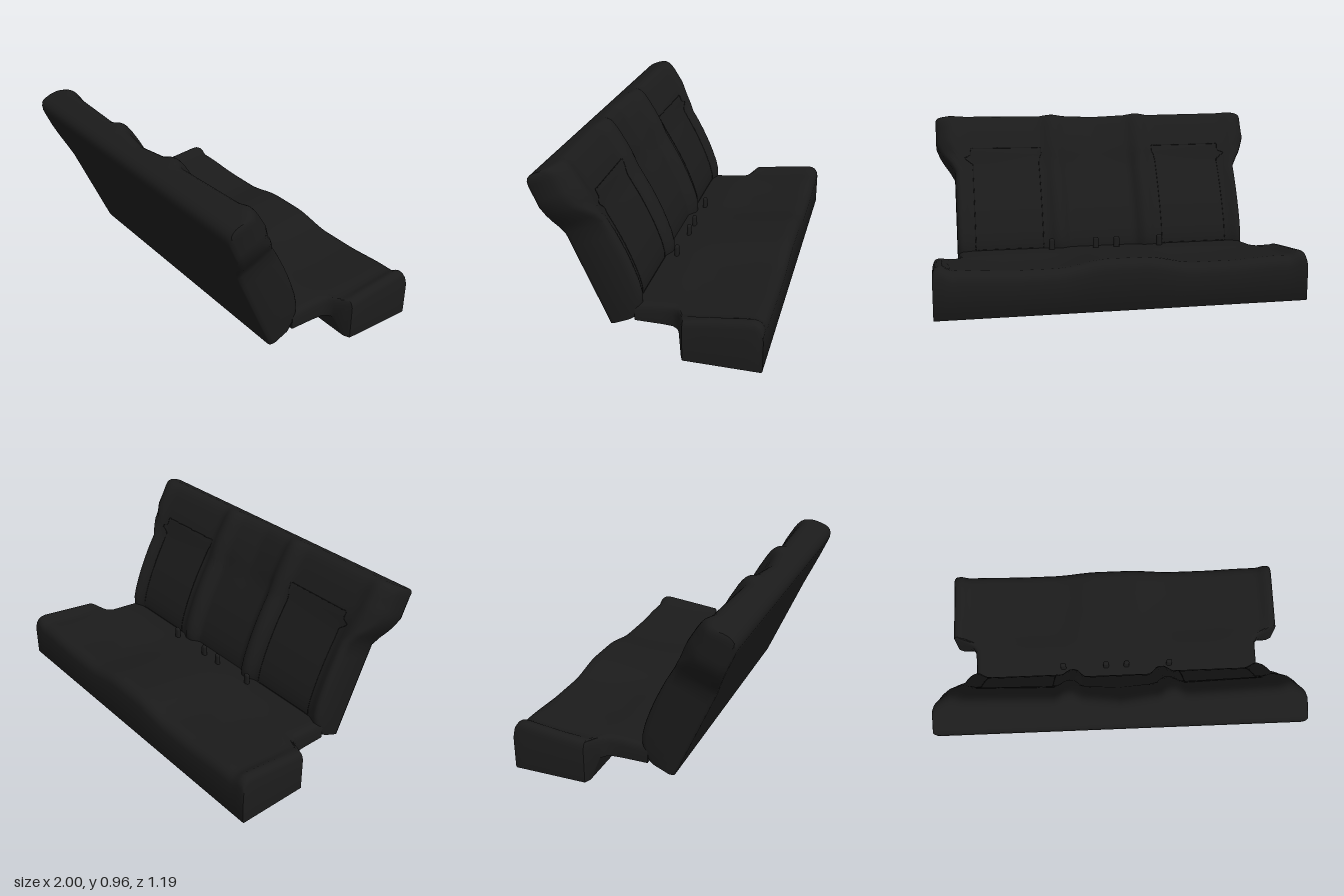
import * as THREE from 'three';
import { toCreasedNormals } from 'three/addons/utils/BufferGeometryUtils.js';
import { RoundedBoxGeometry } from 'three/addons/geometries/RoundedBoxGeometry.js';

const smooth = THREE.MathUtils.smoothstep;
const lerp = THREE.MathUtils.lerp;
const clamp = THREE.MathUtils.clamp;

// Stations across the width, denser towards the rounded sides
const half = [];
for (let i = 0; i <= 38; i++) half.push(i * 0.025);
half.push(0.965, 0.98, 0.99, 1);
const stations = [...half.slice(1).reverse().map((s) => -s), ...half];

// Quarter-round drop at distance d from a side edge
const edgeDrop = (d, r) => (d >= r ? 0 : r - Math.sqrt(r * r - (r - d) * (r - d)));

// Closed solid between two skins, each sampled as rows x stations
function loft(rows, upper, lower) {
  const pos = [];
  const quad = (a, b, c, d) => [a, b, c, a, c, d].forEach((p) => pos.push(...p));
  const P = rows.map((r) => stations.map((s) => upper(r, s)));
  const Q = rows.map((r) => stations.map((s) => lower(r, s)));
  const n = rows.length - 1, m = stations.length - 1;
  for (let i = 0; i < n; i++) {
    const k = i + 1;
    for (let j = 0; j < m; j++) {
      quad(P[i][j], P[k][j], P[k][j + 1], P[i][j + 1]);
      quad(Q[i][j], Q[i][j + 1], Q[k][j + 1], Q[k][j]);
    }
    quad(P[i][m], P[k][m], Q[k][m], Q[i][m]);
    quad(P[i][0], Q[i][0], Q[k][0], P[k][0]);
  }
  for (let j = 0; j < m; j++) {
    quad(P[0][j], P[0][j + 1], Q[0][j + 1], Q[0][j]);
    quad(P[n][j], Q[n][j], Q[n][j + 1], P[n][j + 1]);
  }
  const geo = new THREE.BufferGeometry();
  geo.setAttribute('position', new THREE.Float32BufferAttribute(pos, 3));
  return toCreasedNormals(geo, 0.65);
}

// Cushion rows: z, top, bottom, half width
const cushionRows = [
  [-0.59, 0.215, 0.008, 1], [-0.585, 0.238, 0, 1], [-0.572, 0.257, 0, 1], [-0.552, 0.268, 0, 1],
  [-0.53, 0.27, 0, 1], [-0.5, 0.267, 0, 1], [-0.42, 0.257, 0, 1], [-0.32, 0.245, 0, 1],
  [-0.185, 0.228, 0, 1], [-0.17, 0.226, 0, 0.966], [-0.143, 0.223, 0.1, 0.907], [-0.128, 0.221, 0.1, 0.882],
  [-0.1, 0.218, 0.1, 0.864], [-0.04, 0.21, 0.1, 0.86], [0.03, 0.201, 0.1, 0.86], [0.105, 0.195, 0.1, 0.86],
];
function cushionTop([z, top, , w], s) {
  const x = s * w, a = Math.abs(x);
  // Two shallow seating dips, either side of a middle hump
  const dip = 0.026 * smooth(a, 0.08, 0.36) * (1 - smooth(a, 0.905, 0.955))
    + 0.014 * smooth(a, 0.12, 0.4) * (1 - smooth(a, 0.55, 0.85));
  return [x, top - dip * (1 - smooth(z, -0.35, 0.03)) - edgeDrop(w - a, 0.035), z];
}

// Backrest rows in its leaning frame: height, front, back, half width
const backRows = [
  [0, 0.157, 0, 0.86], [0.03, 0.195, 0, 0.86], [0.064, 0.225, 0, 0.86], [0.11, 0.245, 0, 0.86],
  [0.171, 0.256, 0, 0.86], [0.24, 0.261, 0, 0.86], [0.31, 0.263, 0, 0.86], [0.39, 0.261, 0, 0.86],
  [0.466, 0.256, 0, 0.86], [0.545, 0.247, 0, 0.86], [0.6, 0.24, 0, 0.89], [0.645, 0.243, 0, 0.92],
  [0.69, 0.241, 0, 0.945], [0.745, 0.236, 0, 0.966], [0.78, 0.231, 0, 0.966], [0.83, 0.224, 0, 0.966],
  [0.865, 0.216, 0.001, 0.966], [0.887, 0.207, 0.009, 0.966], [0.902, 0.195, 0.022, 0.964],
  [0.911, 0.18, 0.04, 0.962], [0.915, 0.162, 0.06, 0.96],
];
const place = (x, u, v) => [x, 0.05 + 0.914 * u + 0.405 * v, 0.245 + 0.405 * u - 0.914 * v];

// Hollows of the middle and outer seats, leaving two padded ridges
function hollow(x, u) {
  const a = Math.abs(x), k = smooth(u, 0.5, 0.75);
  const low = 0.045 * (1 - smooth(a, 0.19, 0.25))
    + 0.03 * smooth(a, 0.275, 0.335) * (1 - smooth(a, 0.76, 0.84));
  const high = 0.022 * (1 - smooth(a, 0.19, 0.25)) + 0.033 * Math.max(0, 1 - a / 0.26)
    + 0.03 * smooth(a, 0.275, 0.35) * (1 - 0.5 * clamp((a - 0.37) / 0.48, 0, 1)) * (1 - smooth(a, 0.8, 0.88));
  return lerp(low, high, k) * smooth(u, -0.08, 0.08);
}
const backFront = ([u, f, , w], s) => {
  const x = s * w, d = w - Math.abs(x);
  // The head section falls away more towards its sides
  const shoulder = 0.05 * (1 - smooth(d, 0, 0.09)) * smooth(u, 0.6, 0.7) * (1 - 0.4 * smooth(u, 0.8, 0.915));
  return place(x, u, f - hollow(x, u) - shoulder - edgeDrop(d, 0.04));
};
// Flat rear skin with rounded side edges
const backRear = ([u, , b, w], s) => {
  const round = edgeDrop(w * (1 - Math.abs(s)), 0.028) * (1 - smooth(u, 0.85, 0.915));
  return place(s * w, u, b + round);
};

// Point on the front skin of the backrest
function onBackrest(x, u) {
  const i = Math.max(1, backRows.findIndex((r) => r[0] >= u));
  const [a, b] = [backRows[i - 1], backRows[i]];
  const f = lerp(a[1], b[1], (u - a[0]) / (b[0] - a[0]));
  return new THREE.Vector3(...place(x, u, f - hollow(x, u)));
}

// Seam outline of an outer seat panel: x, height
const panelOutline = [
  [0.36, 0.075], [0.755, 0.075], [0.755, 0.59], [0.8, 0.63], [0.765, 0.65], [0.765, 0.69],
  [0.345, 0.69], [0.345, 0.65], [0.355, 0.63], [0.36, 0.59],
];
function seamGeometry(side) {
  const pts = [];
  panelOutline.forEach(([x, u], i) => {
    const [x2, u2] = panelOutline[(i + 1) % panelOutline.length];
    const steps = Math.max(2, Math.round(Math.hypot(x2 - x, u2 - u) / 0.03));
    for (let k = 0; k < steps; k++) pts.push(onBackrest(side * lerp(x, x2, k / steps), lerp(u, u2, k / steps)));
  });
  return new THREE.TubeGeometry(new THREE.CatmullRomCurve3(pts, true), 200, 0.0025, 5, true);
}

export function createModel() {
  const model = new THREE.Group();
  model.name = 'benchSeat';
  const upholstery = new THREE.MeshStandardMaterial({ color: 0x1b1b1b });
  upholstery.name = 'charcoal upholstery';
  const dark = new THREE.MeshStandardMaterial({ color: 0x161616 });
  dark.name = 'dark seam';
  const add = (name, geo, mat) => {
    const mesh = new THREE.Mesh(geo, mat);
    mesh.name = name;
    model.add(mesh);
    return mesh;
  };

  add('cushion', loft(cushionRows, cushionTop, ([z, , bottom, w], s) => [s * w, bottom, z]), upholstery);
  add('backrest', loft(backRows, backFront, backRear), upholstery);
  add('leftPanelSeam', seamGeometry(1), dark);
  add('rightPanelSeam', seamGeometry(-1), dark);

  // Belt buckles standing in the gap between cushion and backrest
  const buckle = new RoundedBoxGeometry(0.034, 0.09, 0.024, 4, 0.0115);
  for (const x of [-0.325, -0.065, 0.06, 0.32]) add('beltBuckle', buckle, upholstery).position.set(x, 0.219, 0.032);
  return model;
}
